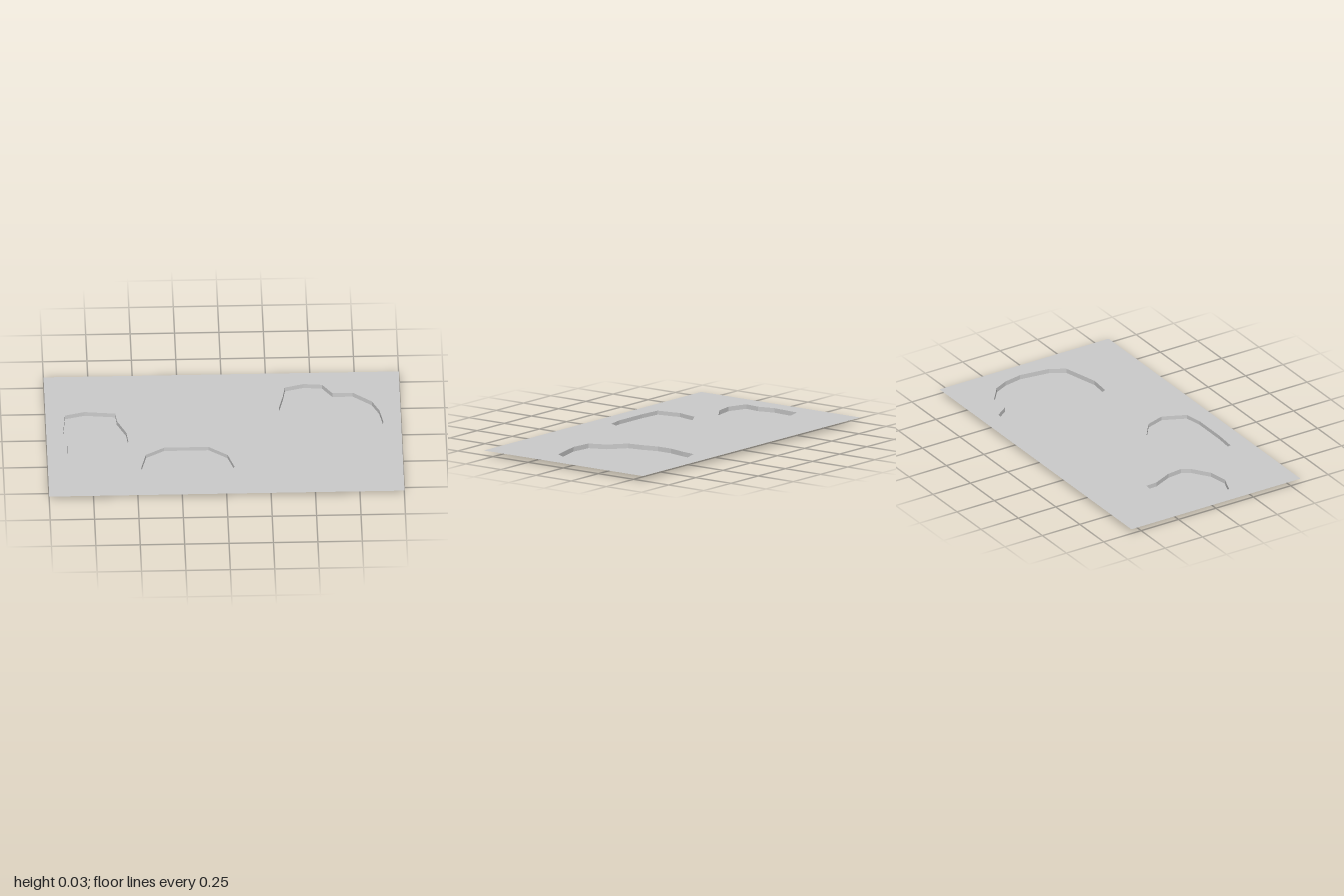
import * as THREE from 'three';

const TOP = 0.027;
const HALF_X = 1, HALF_Z = 0.565;

// Pit outlines as [x, z], clockwise seen from above
const PITS = [
  { name: 'leftPit', floor: 0.001, outline: [
    [-0.89, -0.2], [-0.78, -0.23], [-0.605, -0.21], [-0.6, -0.14], [-0.55, -0.03], [-0.54, 0.06],
    [-0.57, 0.11], [-0.67, 0.18], [-0.78, 0.2], [-0.89, 0.16], [-0.88, 0.07], [-0.905, -0.03]] },
  { name: 'middlePit', floor: 0.004, outline: [
    [-0.445, 0.185], [-0.34, 0.12], [-0.09, 0.12], [0.015, 0.2], [0.05, 0.31],
    [-0.01, 0.44], [-0.11, 0.46], [-0.32, 0.46], [-0.45, 0.45], [-0.475, 0.31]] },
  { name: 'largePit', floor: 0, outline: [
    [0.355, -0.43], [0.46, -0.46], [0.565, -0.45], [0.62, -0.37], [0.735, -0.37], [0.84, -0.285],
    [0.88, -0.2], [0.9, -0.09], [0.875, 0.085], [0.825, 0.17], [0.615, 0.225], [0.49, 0.215],
    [0.45, 0.115], [0.355, 0.04], [0.34, -0.05], [0.315, -0.145], [0.315, -0.235], [0.34, -0.34]] },
];

const material = new THREE.MeshStandardMaterial({
  color: 0xcccccc, side: THREE.DoubleSide, flatShading: true });

const toVectors = (outline) => outline.map(([x, z]) => new THREE.Vector2(x, -z));

// Lay a flat shape on the ground at a height
function flatMesh(name, shape, y) {
  const geometry = new THREE.ShapeGeometry(shape).rotateX(-Math.PI / 2).translate(0, y, 0);
  const mesh = new THREE.Mesh(geometry, material);
  mesh.name = name;
  return mesh;
}

// Vertical strip around an outline, facing inwards
function wallMesh(outline, bottom) {
  const positions = [];
  outline.forEach(([ax, az], i) => {
    const [bx, bz] = outline[(i + 1) % outline.length];
    positions.push(ax, bottom, az, bx, bottom, bz, bx, TOP, bz);
    positions.push(ax, bottom, az, bx, TOP, bz, ax, TOP, az);
  });
  const geometry = new THREE.BufferGeometry();
  geometry.setAttribute('position', new THREE.Float32BufferAttribute(positions, 3));
  geometry.computeVertexNormals();
  const mesh = new THREE.Mesh(geometry, material);
  mesh.name = 'pitWall';
  return mesh;
}

export function createModel() {
  const model = new THREE.Group();
  model.name = 'pittedGround';

  // Ground sheet with an opening for each pit
  const ground = new THREE.Shape(toVectors([
    [-HALF_X, HALF_Z], [HALF_X, HALF_Z], [HALF_X, -HALF_Z], [-HALF_X, -HALF_Z]]));
  for (const { outline } of PITS) ground.holes.push(new THREE.Path(toVectors(outline)));
  model.add(flatMesh('groundSheet', ground, TOP));

  // Sunken pits: wall and floor
  for (const { name, floor, outline } of PITS) {
    const pit = new THREE.Group();
    pit.name = name;
    pit.add(wallMesh(outline, floor));
    pit.add(flatMesh('pitFloor', new THREE.Shape(toVectors(outline)), floor));
    model.add(pit);
  }
  return model;
}
